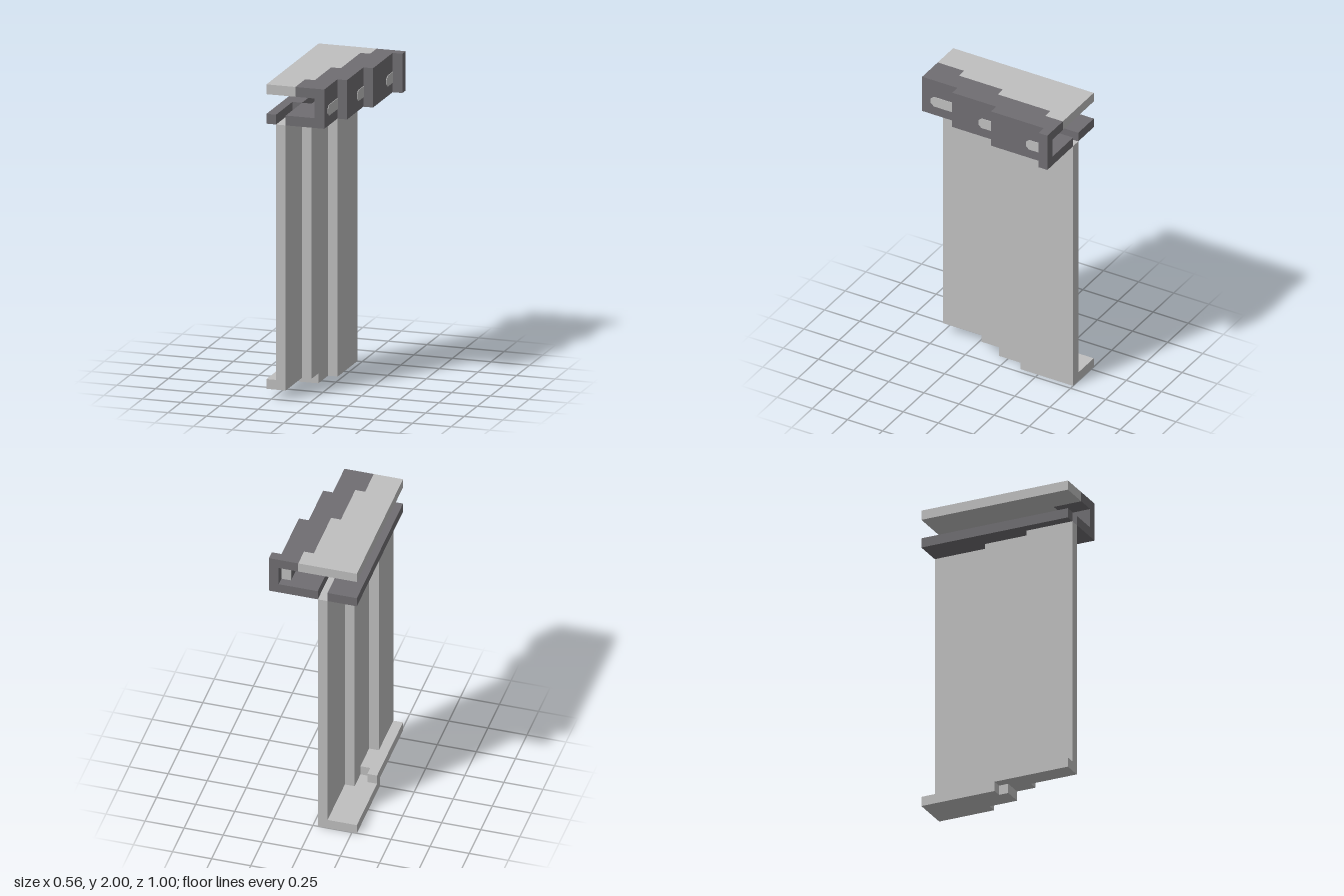
import * as THREE from 'three';

// All sizes are in sixteenths of a unit
const U = 1 / 16;

export function createModel() {
  const group = new THREE.Group();
  const light = new THREE.MeshStandardMaterial({ color: 0xbfbfbf });
  light.name = 'lightGrey';
  const dark = new THREE.MeshStandardMaterial({ color: 0x706e72 });
  dark.name = 'darkGrey';

  function add(name, geometry, material) {
    const mesh = new THREE.Mesh(geometry.scale(U, U, U), material);
    mesh.name = name;
    group.add(mesh);
  }
  function box(name, material, [x0, x1], [y0, y1], [z0, z1]) {
    const g = new THREE.BoxGeometry(x1 - x0, y1 - y0, z1 - z0);
    g.translate((x0 + x1) / 2, (y0 + y1) / 2, (z0 + z1) / 2);
    add(name, g, material);
  }
  // Horizontal plate from an outline of [x, z] points
  function plate(name, material, points, y0, y1) {
    const shape = new THREE.Shape(points.map(([x, z]) => new THREE.Vector2(x, -z)));
    const g = new THREE.ExtrudeGeometry(shape, { depth: y1 - y0, bevelEnabled: false });
    add(name, g.rotateX(-Math.PI / 2).translate(0, y0, 0), material);
  }
  // Staircase edge from front to back: steps are [x, zFront, zBack]
  const stairs = (steps) => steps.flatMap(([x, z0, z1]) => [[x, z0], [x, z1]]);

  const wallSteps = [[1.5, 8, 4], [2.5, 4, -1], [3.5, -1, -7], [4.5, -7, -8]];
  const trimSteps = [[-1.5, 8, 5], [-0.5, 5, 0], [0.5, 0, -6], [1.5, -6, -8]];
  const panelSteps = [[-2.5, 8, 3], [-1.5, 3, -2], [-0.5, -2, -8]];
  const outerEdge = stairs(wallSteps);
  const trimEdge = stairs(trimSteps);
  const slotOuter = stairs(panelSteps);
  const slotInner = slotOuter.map(([x, z]) => [x - 1, z]);

  // Top of the rail: light deck with a dark stepped border
  plate('topDeck', light, [[-4.5, 8], ...trimEdge, [-4.5, -8]], 31, 32);
  plate('topBorder', dark, [...trimEdge, ...[...outerEdge].reverse()], 31, 32);

  // Bottom of the rail, split by the stepped slot above the panels
  plate('railLip', dark, [[-4.5, 8], ...slotInner, [-4.5, -8]], 28, 29);
  plate('railFloor', dark, [...slotOuter, ...[...outerEdge].reverse()], 28, 29);

  // Stepped rail wall with light inner ends
  wallSteps.forEach(([x, z0, z1], i) => {
    box('railWall', dark, [x - 1, x], [29, 31], [z1, z0]);
    if (i < 3) box('wallEndInlay', light, [x - 1, x], [29, 31], [z1 - 0.06, z1]);
  });

  // Light slots on the outer wall, rounded toward the front
  [[1.5, 7, 4], [2.5, 1, -1], [3.5, -5, -7]].forEach(([x, z0, z1]) => {
    const s = new THREE.Shape([
      [-z0, 29.3], [-z0 + 0.35, 29], [-z1, 29], [-z1, 30.1], [-z0 + 0.35, 30.1], [-z0, 29.8],
    ].map(([u, y]) => new THREE.Vector2(u, y)));
    const g = new THREE.ExtrudeGeometry(s, { depth: 0.06, bevelEnabled: false });
    add('wallSlot', g.rotateY(Math.PI / 2).translate(x, 0, 0), light);
  });

  // Three stepped upright panels
  box('frontPanel', light, [-3.5, -2.5], [1, 28], [3, 8]);
  box('middlePanel', light, [-2.5, -1.5], [1, 28], [-2, 3]);
  box('middlePanelFoot', light, [-2.5, -1.5], [0, 1], [-2, 1]);
  box('rearPanel', light, [-1.5, -0.5], [0, 28], [-8, -2]);

  // Two-level foot ledge
  plate('rearLedge', light,
    [[-4.5, 0], [-3.5, 0], [-3.5, 1], [-2.5, 1], [-2.5, -2], [-1.5, -2], [-1.5, -8], [-4.5, -8]], 0, 1);
  plate('frontLedge', light,
    [[-4.5, 8], [-3.5, 8], [-3.5, 3], [-2.5, 3], [-2.5, 0], [-3.5, 0], [-3.5, -1], [-4.5, -1]], 1, 2);

  return group;
}
